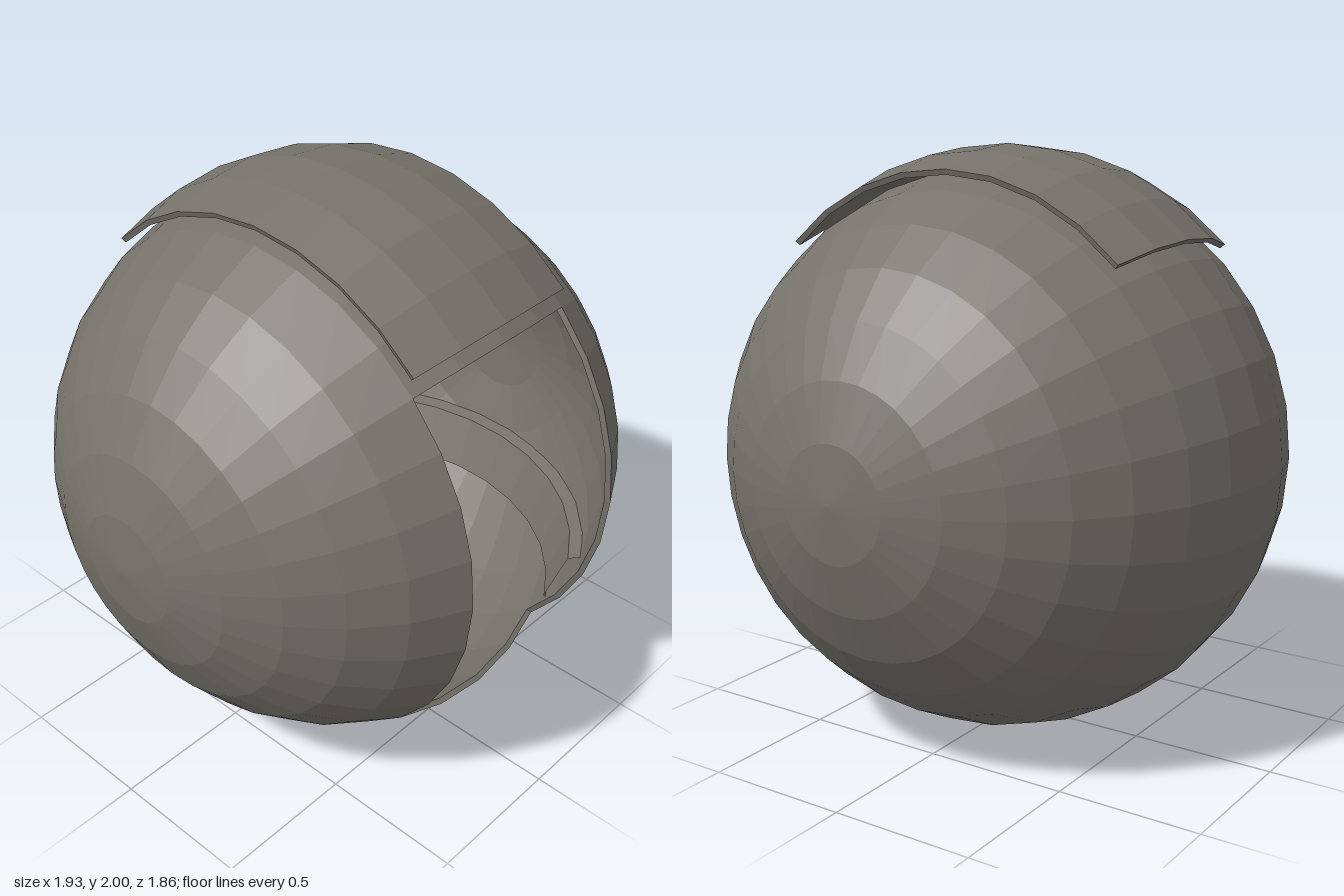
import * as THREE from 'three';

const R = 0.967, INNER = 0.947;      // shell radii
const CY = 0.967, CZ = 0.03;         // sphere centre
const STEP = Math.PI / 16;
const HATCH = Math.asin(0.36 / R);   // half-width angle of the opening

// Point on a sphere whose poles lie on x; lon 0 faces the front, 90 degrees is up.
function point(r, lat, lon) {
  const c = Math.cos(lat);
  return [r * Math.sin(lat), r * c * Math.sin(lon), r * c * Math.cos(lon)];
}

// Closed, thick piece of the sphere over a grid of latitudes and longitudes.
function shellPanel(lats, lons) {
  const pos = [];
  const O = (i, j) => point(R, lats[i], lons[j]);
  const I = (i, j) => point(INNER, lats[i], lons[j]);
  const same = (p, q) => Math.hypot(p[0] - q[0], p[1] - q[1], p[2] - q[2]) < 1e-6;
  const tri = (a, b, c) => {
    if (!same(a, b) && !same(b, c) && !same(a, c)) pos.push(...a, ...b, ...c);
  };
  const quad = (a, b, c, d) => { tri(a, b, c); tri(a, c, d); };
  const m = lats.length - 1, n = lons.length - 1;
  for (let i = 0; i < m; i++) {
    for (let j = 0; j < n; j++) {
      quad(O(i, j), O(i + 1, j), O(i + 1, j + 1), O(i, j + 1));
      quad(I(i, j), I(i, j + 1), I(i + 1, j + 1), I(i + 1, j));
    }
  }
  // rims
  for (let j = 0; j < n; j++) {
    quad(O(0, j), O(0, j + 1), I(0, j + 1), I(0, j));
    quad(O(m, j), I(m, j), I(m, j + 1), O(m, j + 1));
  }
  if (lons[n] - lons[0] < Math.PI * 2 - 1e-6) {
    for (let i = 0; i < m; i++) {
      quad(O(i, 0), I(i, 0), I(i + 1, 0), O(i + 1, 0));
      quad(O(i, n), O(i + 1, n), I(i + 1, n), I(i, n));
    }
  }
  const geo = new THREE.BufferGeometry();
  geo.setAttribute('position', new THREE.Float32BufferAttribute(pos, 3));
  geo.computeVertexNormals();
  return geo;
}

const steps = (from, to) => Array.from({ length: to - from + 1 }, (_, k) => (from + k) * STEP);

export function createModel() {
  const group = new THREE.Group();
  const grey = new THREE.MeshStandardMaterial({ color: 0x76726b, flatShading: true, side: THREE.DoubleSide });
  grey.name = 'warm grey';

  const add = (name, geo, y = CY, z = CZ) => {
    const mesh = new THREE.Mesh(geo, grey);
    mesh.name = name;
    mesh.position.set(0, y, z);
    group.add(mesh);
  };

  // side domes
  const leftLats = [HATCH, ...steps(3, 8)];
  const rightLats = leftLats.map((a) => -a).reverse();
  add('leftDome', shellPanel(leftLats, steps(0, 32)));
  add('rightDome', shellPanel(rightLats, steps(0, 32)));

  // middle band, open at the front between -45 and 45 degrees
  const midLats = [-HATCH, -STEP, 0, STEP, HATCH];
  add('middleBand', shellPanel(midLats, steps(4, 28)));

  // hatch slid up over the top
  add('slidingHatch', shellPanel(midLats, steps(4, 12)), CY + 0.066);

  // bench ring inside, interrupted at the doorway
  const profile = [[0.785, 0.43], [0.77, 0.44], [0.84, 0.625], [0.885, 0.635]]
    .map(([r, y]) => new THREE.Vector2(r, y));
  const gap = THREE.MathUtils.degToRad(28);
  add('benchRing', new THREE.LatheGeometry(profile, 28, gap, Math.PI * 2 - 2 * gap), 0);

  return group;
}
